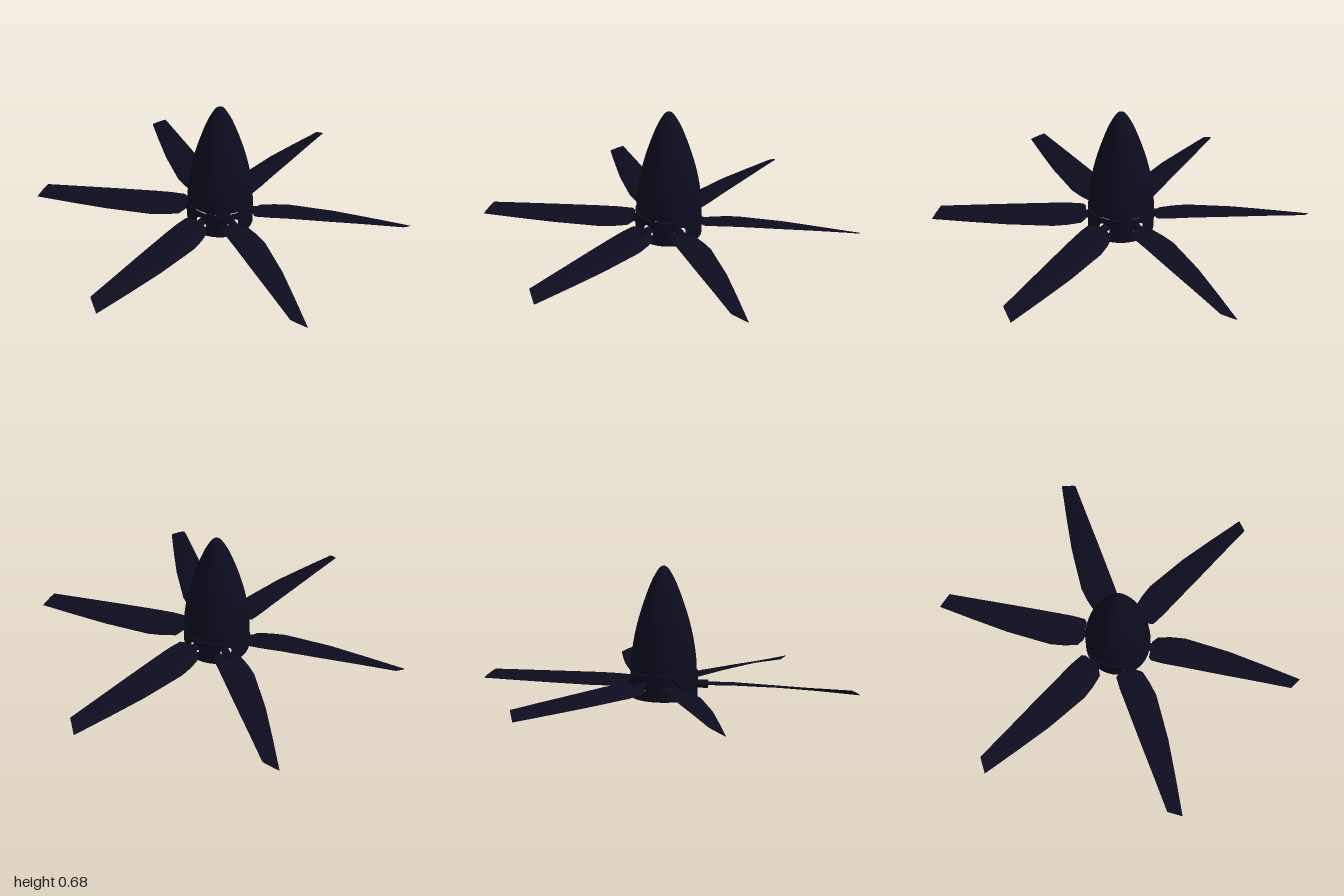
import * as THREE from 'three';
import { toCreasedNormals } from 'three/addons/utils/BufferGeometryUtils.js';

const DEG = Math.PI / 180;
const BLADE_ANGLES = [8, 67.5, 130, 188.7, 247, 310]; // clockwise from the back, seen from above
const NECK_Y = 0.07;
const BASE_R = 0.175, BASE_TOP = 0.132, HOLE_R = 0.034;

const paint = new THREE.MeshStandardMaterial({ color: 0x0c0c1e });
const paintThin = new THREE.MeshStandardMaterial({ color: 0x0c0c1e, side: THREE.DoubleSide });

function part(name, geometry, material = paint) {
  const mesh = new THREE.Mesh(geometry, material);
  mesh.name = name;
  return mesh;
}

// Blade: thin airfoil sections lofted outwards along -z
function bladeGeometry() {
  // [low edge x, distance, y,  high edge x, distance, y,  thickness]
  const stations = [
    [-0.034, 0.184, 0.062, 0.062, 0.186, 0.078, 0.010],
    [-0.068, 0.210, 0.057, 0.078, 0.200, 0.083, 0.012],
    [-0.085, 0.280, 0.056, 0.082, 0.270, 0.086, 0.012],
    [-0.094, 0.357, 0.056, 0.080, 0.370, 0.088, 0.011],
    [-0.072, 0.603, 0.054, 0.076, 0.580, 0.087, 0.008],
    [-0.040, 0.800, 0.050, 0.071, 0.770, 0.086, 0.006],
    [-0.004, 1.004, 0.046, 0.067, 0.962, 0.084, 0.004],
  ];
  const n = 16, pos = [], idx = [];
  const section = (s, size) => {
    for (let k = 0; k < n; k++) {
      const a = (k / n) * Math.PI * 2;
      const t = 0.5 + 0.5 * size * Math.cos(a);
      const bulge = size * s[6] * Math.sin(a) * (Math.sin(a) > 0 ? 1 : 0.5);
      pos.push(
        s[0] + (s[3] - s[0]) * t,
        s[2] + (s[5] - s[2]) * t + bulge,
        -(s[1] + (s[4] - s[1]) * t));
    }
  };
  // Both ends close to a point
  section(stations[0], 0);
  stations.forEach((s) => section(s, 1));
  section(stations[stations.length - 1], 0);
  for (let i = 0; i < stations.length + 1; i++) {
    for (let k = 0; k < n; k++) {
      const a = i * n + k, b = i * n + (k + 1) % n;
      idx.push(a, a + n, b, b, a + n, b + n);
    }
  }
  const g = new THREE.BufferGeometry();
  g.setAttribute('position', new THREE.Float32BufferAttribute(pos, 3));
  g.setIndex(idx);
  return toCreasedNormals(g, 50 * DEG);
}

// One sector of the base wall with a round hole for the blade neck,
// wrapped around the axis; before / after are its angular half-widths
function wallGeometry(radius, before, after) {
  const g = new THREE.RingGeometry(1, 2, 48, 5);
  const p = g.attributes.position;
  for (let i = 0; i < p.count; i++) {
    const x = p.getX(i), y = p.getY(i);
    const len = Math.hypot(x, y), t = len - 1;
    const c = x / len, s = y / len, m = Math.max(Math.abs(c), Math.abs(s));
    const edgeX = (c / m) * (c > 0 ? before : after) * radius;
    const edgeY = (s / m) * (s > 0 ? BASE_TOP - NECK_Y : NECK_Y);
    const px = HOLE_R * c * (1 - t) + edgeX * t;
    const py = HOLE_R * s * (1 - t) + edgeY * t;
    const phi = -px / radius;
    p.setXYZ(i, radius * Math.sin(phi), NECK_Y + py, -radius * Math.cos(phi));
  }
  g.computeVertexNormals();
  return g;
}

// Flat ring joining the inner and outer walls
function rim(y) {
  const g = new THREE.RingGeometry(BASE_R - 0.01, BASE_R, 64);
  g.rotateX(-Math.PI / 2).translate(0, y, 0);
  return part('baseRim', g, paintThin);
}

export function createModel() {
  const model = new THREE.Group();
  model.name = 'propeller';

  // Pointed nose cone with a closed back plate
  const nose = [[0.172, 0.14], [0.168, 0.21], [0.153, 0.31], [0.129, 0.41],
    [0.097, 0.51], [0.062, 0.6], [0.03, 0.658], [0.014, 0.675], [0, 0.68]];
  const curve = new THREE.SplineCurve(nose.map(([r, y]) => new THREE.Vector2(r, y)));
  const outline = curve.getPoints(40).map((v) => new THREE.Vector2(Math.max(v.x, 0), v.y));
  const spinner = new THREE.Group();
  spinner.name = 'spinner';
  const plate = new THREE.CircleGeometry(0.172, 64).rotateX(Math.PI / 2).translate(0, 0.14, 0);
  spinner.add(part('noseCone', new THREE.LatheGeometry(outline, 64)), part('backPlate', plate));
  spinner.position.set(-0.008, 0, -0.008);
  model.add(spinner);

  // Central hub that holds the blade necks
  const rotor = new THREE.Group();
  rotor.name = 'rotor';
  rotor.position.set(-0.01, 0, -0.006);
  rotor.add(part('hub', new THREE.CylinderGeometry(0.045, 0.045, 0.05, 32).translate(0, NECK_Y, 0)));
  rotor.add(rim(0), rim(BASE_TOP));

  const blade = bladeGeometry();
  const neck = new THREE.CylinderGeometry(0.022, 0.018, 0.2, 20)
    .rotateX(-Math.PI / 2).translate(0, NECK_Y, -0.13);
  const sleeve = new THREE.CylinderGeometry(HOLE_R, HOLE_R, 0.014, 32, 1, true)
    .rotateX(Math.PI / 2).translate(0, NECK_Y, -BASE_R + 0.008);

  // Each blade with its neck and its sector of the base wall
  const count = BLADE_ANGLES.length;
  BLADE_ANGLES.forEach((angle, i) => {
    const toPrev = (angle - BLADE_ANGLES[(i + count - 1) % count] + 360) % 360;
    const toNext = (BLADE_ANGLES[(i + 1) % count] - angle + 360) % 360;
    const before = (toPrev / 2) * DEG, after = (toNext / 2) * DEG;
    const unit = new THREE.Group();
    unit.name = 'bladeUnit';
    unit.add(
      part('blade', blade),
      part('bladeNeck', neck),
      part('neckSleeve', sleeve, paintThin),
      part('baseWall', wallGeometry(BASE_R, before, after), paintThin),
      part('baseInnerWall', wallGeometry(BASE_R - 0.01, before, after), paintThin));
    unit.rotation.y = -angle * DEG;
    rotor.add(unit);
  });
  model.add(rotor);
  return model;
}
